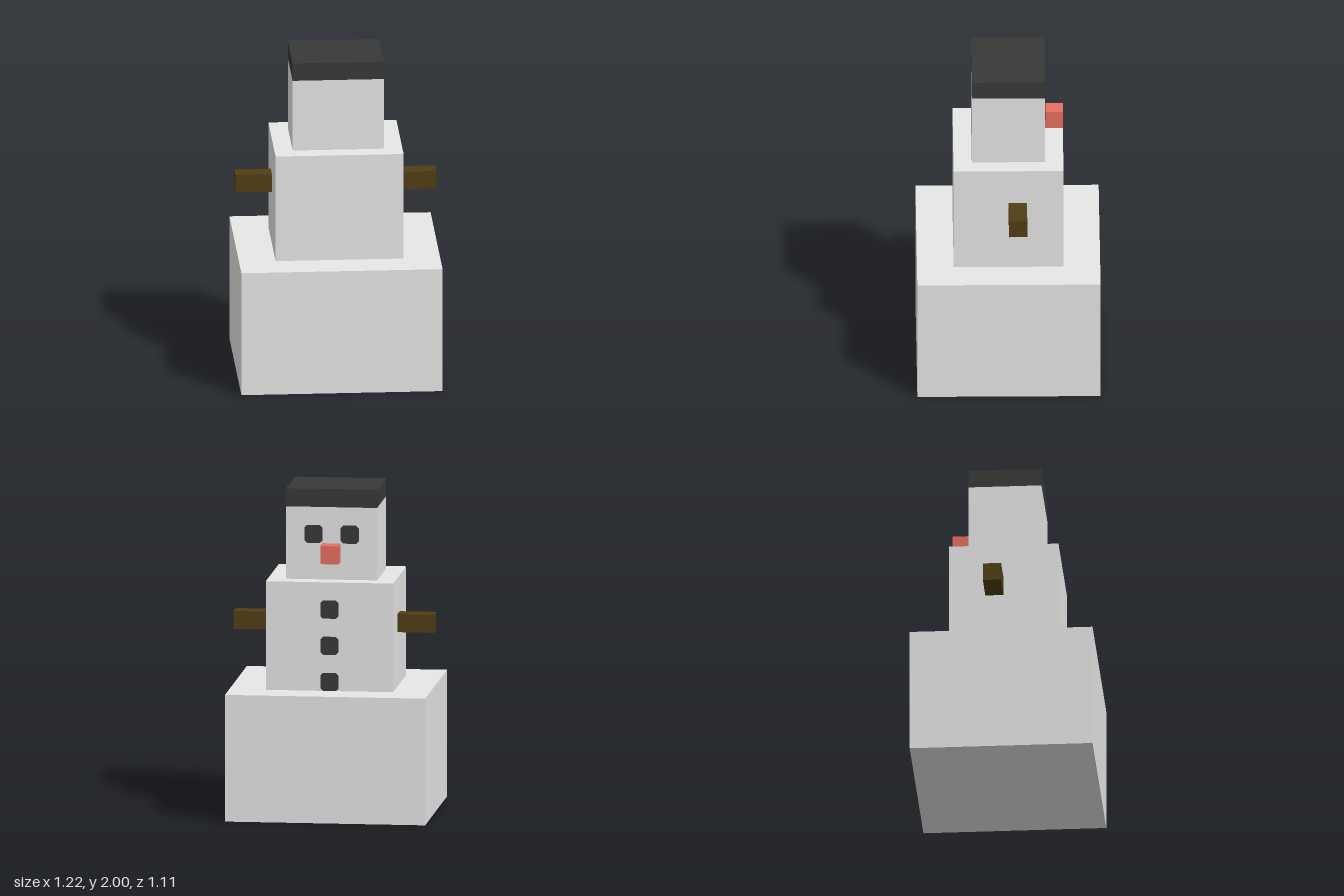
import * as THREE from 'three';

const U = 1 / 18; // block unit

const material = (name, color) => {
  const m = new THREE.MeshStandardMaterial({ color });
  m.name = name;
  return m;
};

export function createModel() {
  const snow = material('snow white', 0xf4f4f4);
  const coal = material('coal black', 0x393939);
  const wood = material('dark wood', 0x503e15);
  const carrot = material('carrot red', 0xf57669);

  const model = new THREE.Group();
  model.name = 'snowman';

  // Block given by its size and its lowest y, in block units
  const block = (name, mat, [w, h, d], [x, y, z]) => {
    const mesh = new THREE.Mesh(new THREE.BoxGeometry(w * U, h * U, d * U), mat);
    mesh.position.set(x * U, (y + h / 2) * U, z * U);
    mesh.name = name;
    model.add(mesh);
  };

  // Stacked snow blocks and flat hat
  block('base', snow, [22, 14, 20], [0, 0, 0]);
  block('torso', snow, [14, 12, 12], [0, 14, 0]);
  block('head', snow, [10, 8, 8], [0, 26, 0]);
  block('hat', coal, [10, 2, 8], [0, 34, 0]);

  // Nose and stick arms; the face looks toward -z
  block('nose', carrot, [2, 2, 2], [0, 28, -5]);
  for (const s of [1, -1]) {
    block(s > 0 ? 'leftArm' : 'rightArm', wood, [4, 2, 2], [s * 9, 20, -1]);
  }

  // Thin coal plate: a square with clipped corners
  const r = U, c = 0.7 * U;
  const plate = new THREE.ExtrudeGeometry(new THREE.Shape([
    [-c, -r], [c, -r], [r, -c], [r, c], [c, r], [-c, r], [-r, c], [-r, -c],
  ].map(([x, y]) => new THREE.Vector2(x, y))), { depth: 0.008, bevelEnabled: false });
  plate.translate(0, 0, -0.004);

  const coalPiece = (name, x, y, z) => {
    const mesh = new THREE.Mesh(plate, coal);
    mesh.position.set(x * U, y * U, z * U);
    mesh.name = name;
    model.add(mesh);
  };
  for (const s of [1, -1]) coalPiece(s > 0 ? 'leftEye' : 'rightEye', s * 2, 31, -4);
  [23, 19, 15].forEach((y, i) => coalPiece(`button${i + 1}`, 0, y, -6));

  return model;
}
